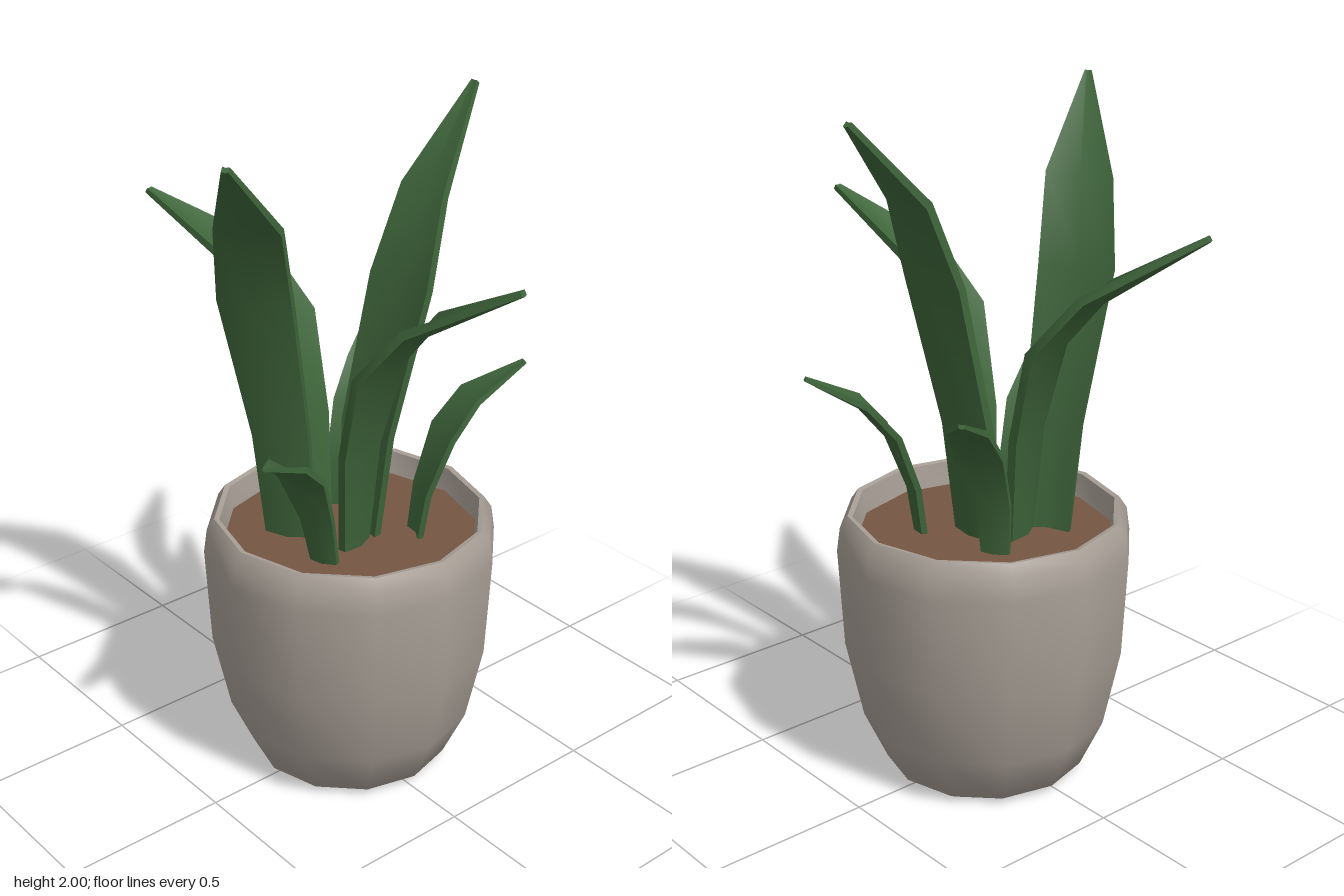
import * as THREE from 'three';
import { toCreasedNormals } from 'three/addons/utils/BufferGeometryUtils.js';

const SIDES = 12;
const POT_Z = -0.02;
const SOIL_Y = 0.74;
const FOLD = 0.12; // depth of the leaf's lengthwise fold, as a share of its half width

// Corners of a leaf section: [across, upper or lower face, fold offset]
const SECTION = [[1, 1, 1], [0, 1, -1], [-1, 1, 1], [-1, -1, 1], [0, -1, -1], [1, -1, 1]];

const paint = (color) => new THREE.MeshStandardMaterial({ color });

// Leaf blade: shallow V sections along rows of [x, y, z, halfWidth]
function leafGeometry(rows, thickness) {
  const points = rows.map(([x, y, z]) => new THREE.Vector3(x, y, z));
  const last = points.length - 1;
  const n = SECTION.length;
  const reach = points[last].clone().sub(points[0]).setY(0).normalize();
  const across = new THREE.Vector3(reach.z, 0, -reach.x);
  const positions = [];
  const index = [];

  rows.forEach((row, i) => {
    const halfWidth = row[3];
    const tangent = points[Math.min(i + 1, last)].clone().sub(points[Math.max(i - 1, 0)]).normalize();
    const normal = tangent.clone().cross(across).normalize();
    const halfThickness = thickness * (i === last ? 0.3 : 0.5);
    for (const [side, face, fold] of SECTION) {
      const p = points[i].clone()
        .addScaledVector(across, side * halfWidth)
        .addScaledVector(normal, face * halfThickness + fold * FOLD * halfWidth);
      positions.push(p.x, p.y, p.z);
    }
  });

  for (let i = 0; i < last; i++) {
    for (let k = 0; k < n; k++) {
      const a = i * n + k;
      const b = i * n + ((k + 1) % n);
      index.push(a, b, a + n, b, b + n, a + n);
    }
  }
  // End caps
  const e = last * n;
  for (const [a, b, c] of [[0, 1, 4], [0, 4, 5], [1, 2, 3], [1, 3, 4]]) {
    index.push(a, c, b, e + a, e + b, e + c);
  }

  const geometry = new THREE.BufferGeometry();
  geometry.setAttribute('position', new THREE.Float32BufferAttribute(positions, 3));
  geometry.setIndex(index);
  return toCreasedNormals(geometry, 0.9);
}

const LEAVES = {
  tallFrontLeaf: [
    [-0.10, 0.72, 0.13, 0.07], [-0.095, 1.06, 0.16, 0.085], [-0.085, 1.50, 0.25, 0.108],
    [-0.02, 1.74, 0.315, 0.095], [0.143, 1.99, 0.495, 0.01],
  ],
  tallBackLeaf: [
    [0.00, 0.72, -0.06, 0.075], [0.01, 1.06, -0.085, 0.095], [0.05, 1.50, -0.17, 0.11],
    [0.035, 1.74, -0.26, 0.08], [-0.03, 1.99, -0.495, 0.01],
  ],
  leftLeaf: [
    [0.07, 0.72, 0.02, 0.055], [0.11, 1.06, 0.03, 0.08], [0.21, 1.34, 0.045, 0.105],
    [0.33, 1.50, 0.01, 0.085], [0.595, 1.66, -0.085, 0.01],
  ],
  rightLeaf: [
    [-0.085, 0.72, 0.045, 0.065], [-0.13, 1.06, 0.035, 0.085], [-0.22, 1.34, 0.03, 0.11],
    [-0.36, 1.51, 0.07, 0.095], [-0.595, 1.685, 0.235, 0.01],
  ],
  smallFrontLeaf: [
    [0.09, 0.72, 0.15, 0.04], [0.09, 0.88, 0.18, 0.05], [0.11, 1.04, 0.25, 0.07],
    [0.145, 1.12, 0.325, 0.058], [0.25, 1.21, 0.475, 0.008],
  ],
  smallBackLeftLeaf: [
    [0.13, 0.72, -0.16, 0.04], [0.14, 0.88, -0.18, 0.05], [0.16, 1.05, -0.24, 0.07],
    [0.18, 1.15, -0.32, 0.058], [0.242, 1.24, -0.465, 0.008],
  ],
  smallBackRightLeaf: [
    [-0.14, 0.72, -0.10, 0.04], [-0.14, 0.88, -0.11, 0.05], [-0.16, 1.05, -0.18, 0.07],
    [-0.20, 1.15, -0.25, 0.058], [-0.325, 1.24, -0.375, 0.008],
  ],
};

export function createModel() {
  const group = new THREE.Group();
  group.name = 'pottedPlant';

  // Pot: turned shell with a rolled rim and an inner wall
  const profile = [
    [0, 0], [0.27, 0], [0.30, 0.02], [0.368, 0.17], [0.418, 0.41], [0.433, 0.71],
    [0.423, 0.78], [0.40, 0.815], [0.385, 0.812], [0.372, SOIL_Y - 0.02],
  ].map(([r, y]) => new THREE.Vector2(r, y));
  const pot = new THREE.Mesh(
    toCreasedNormals(new THREE.LatheGeometry(profile, SIDES), 0.75),
    paint(0xa79e95),
  );
  pot.name = 'pot';
  pot.position.z = POT_Z;
  group.add(pot);

  // Soil disc
  const soil = new THREE.Mesh(new THREE.CylinderGeometry(0.375, 0.375, 0.02, SIDES), paint(0x755543));
  soil.name = 'soil';
  soil.position.set(0, SOIL_Y - 0.01, POT_Z);
  group.add(soil);

  // Leaves
  const green = paint(0x3e653a);
  for (const [name, rows] of Object.entries(LEAVES)) {
    const leaf = new THREE.Mesh(leafGeometry(rows, name.startsWith('small') ? 0.018 : 0.025), green);
    leaf.name = name;
    group.add(leaf);
  }
  return group;
}
